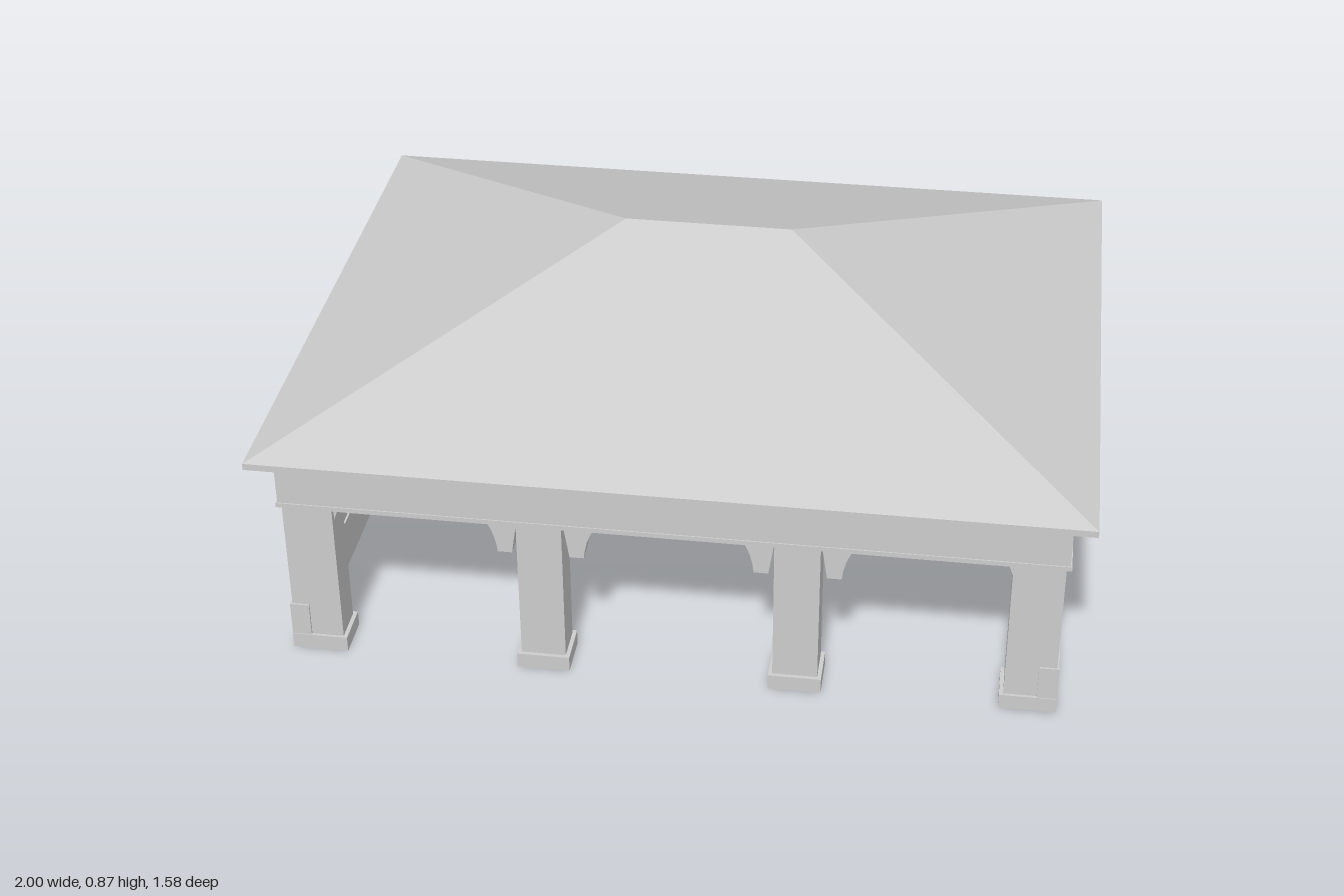
import * as THREE from 'three';

export function createModel() {
  const model = new THREE.Group();
  model.name = 'pavilion';
  const grey = new THREE.MeshStandardMaterial({ color: 0xcccccc });
  grey.name = 'plain grey';

  const add = (name, geometry) => {
    const mesh = new THREE.Mesh(geometry, grey);
    mesh.name = name;
    model.add(mesh);
    return mesh;
  };
  // box given by its lowest and highest corners
  const box = (name, x0, x1, y0, y1, z0, z1) => {
    const mesh = add(name, new THREE.BoxGeometry(x1 - x0, y1 - y0, z1 - z0));
    mesh.position.set((x0 + x1) / 2, (y0 + y1) / 2, (z0 + z1) / 2);
    return mesh;
  };
  // the same box on the left (+x) and mirrored on the right (-x)
  const pair = (name, x0, x1, ...rest) => {
    box(name + 'Left', x0, x1, ...rest);
    box(name + 'Right', -x1, -x0, ...rest);
  };

  // hipped roof: a box whose top is drawn in to a ridge
  const roof = new THREE.BoxGeometry(2, 0.285, 1.58).toNonIndexed();
  roof.translate(0, 0.7275, 0);
  const p = roof.attributes.position;
  for (let i = 0; i < p.count; i++) {
    if (p.getY(i) > 0.7) p.setXYZ(i, Math.sign(p.getX(i)) * 0.21, 0.87, 0);
  }
  roof.computeVertexNormals();
  add('roof', roof);

  // stepped eaves, which also form the ceiling
  box('eaves', -1, 1, 0.568, 0.585, -0.79, 0.79);
  box('eavesTrim', -0.96, 0.96, 0.556, 0.569, -0.75, 0.75);

  // walls with a plinth and back corner strips
  const back = -0.735;
  box('backWall', -0.935, 0.935, 0, 0.56, back + 0.008, back + 0.045);
  box('backPlinth', -0.943, 0.943, 0, 0.13, back, back + 0.05);
  pair('sideWall', 0.9, 0.937, 0, 0.56, back + 0.01, 0.725);
  pair('sidePlinth', 0.895, 0.943, 0, 0.13, back + 0.002, 0.73);
  pair('cornerStrip', 0.895, 0.942, 0.13, 0.56, back, back + 0.047);

  // front beam, wrapping round the corners
  box('frontBeam', -0.946, 0.946, 0.425, 0.56, 0.63, 0.73);
  box('beamMoulding', -0.95, 0.95, 0.425, 0.437, 0.627, 0.733);

  // piers and their bases
  pair('cornerPier', 0.815, 0.938, 0, 0.425, 0.635, 0.725);
  pair('cornerPierBase', 0.805, 0.943, 0, 0.04, 0.625, 0.732);
  pair('middlePier', 0.255, 0.365, 0, 0.425, 0.635, 0.725);
  pair('middlePierBase', 0.245, 0.375, 0, 0.04, 0.625, 0.735);

  // curved braces beside the middle piers; u runs away from the pier
  const brace = (name, x, dir) => {
    const s = new THREE.Shape();
    s.moveTo(x, 0.43);
    s.lineTo(x + dir * 0.015, 0.33);
    s.lineTo(x + dir * 0.05, 0.33);
    s.quadraticCurveTo(x + dir * 0.055, 0.39, x + dir * 0.085, 0.43);
    s.closePath();
    const g = new THREE.ExtrudeGeometry(s, { depth: 0.06, bevelEnabled: false, curveSegments: 5 });
    add(name, g).position.z = 0.65;
  };
  for (const side of [-1, 1]) {
    brace('innerBrace', side * 0.255, -side);
    brace('outerBrace', side * 0.365, side);
    // small haunch at the top of each corner pier
    const s = new THREE.Shape();
    s.moveTo(side * 0.83, 0.385);
    s.lineTo(side * 0.815, 0.385);
    s.lineTo(side * 0.798, 0.43);
    s.lineTo(side * 0.83, 0.43);
    s.closePath();
    const g = new THREE.ExtrudeGeometry(s, { depth: 0.06, bevelEnabled: false });
    add('cornerHaunch', g).position.z = 0.65;
  }

  // side window panels with lintel and sill
  for (const [z0, z1] of [[0.27, 0.46], [-0.15, 0.045], [-0.51, -0.315]]) {
    pair('windowPanel', 0.93, 0.942, 0.395, 0.507, z0, z1);
    pair('windowSill', 0.93, 0.947, 0.385, 0.396, z0, z1);
    pair('windowLintel', 0.93, 0.947, 0.505, 0.516, z0, z1);
  }
  return model;
}
